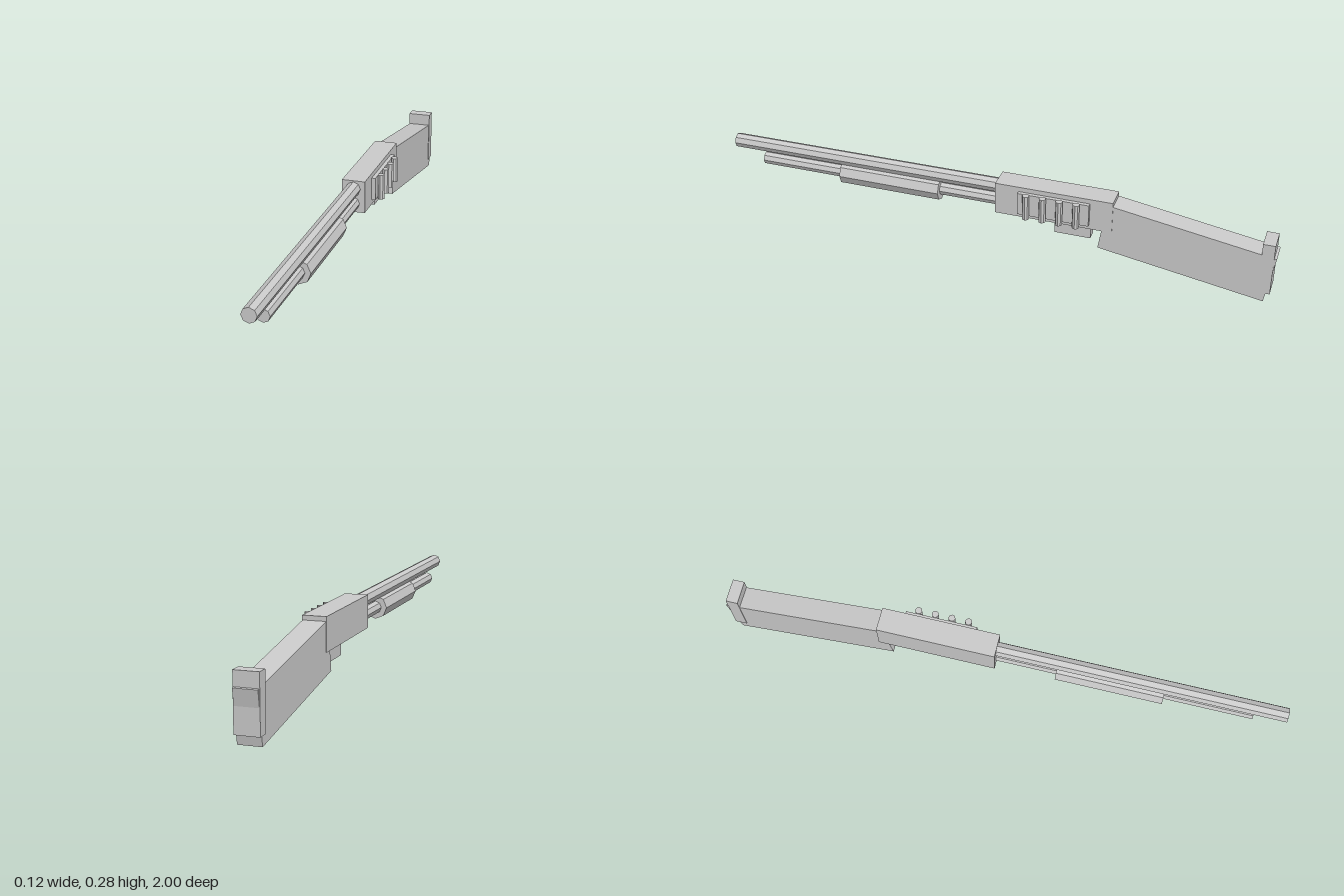
import * as THREE from 'three';

export function createModel() {
  const model = new THREE.Group();
  const grey = new THREE.MeshStandardMaterial({ color: 0xcccccc, flatShading: true });
  grey.name = 'light grey';
  const CX = -0.019; // centre line of the body

  const add = (name, geometry, x, y, z) => {
    const mesh = new THREE.Mesh(geometry, grey);
    mesh.name = name;
    mesh.position.set(x, y, z);
    model.add(mesh);
    return mesh;
  };
  // Box given by its limits on each axis
  const box = (name, x0, x1, y0, y1, z0, z1) =>
    add(name, new THREE.BoxGeometry(x1 - x0, y1 - y0, z1 - z0),
      (x0 + x1) / 2, (y0 + y1) / 2, (z0 + z1) / 2);
  // Eight-sided rod lying along z
  const rod = (name, r, y, z0, z1) =>
    add(name, new THREE.CylinderGeometry(r, r, z1 - z0, 8).rotateX(Math.PI / 2),
      CX, y, (z0 + z1) / 2);

  // Tubes and sliding grip
  rod('barrel', 0.026, 0.255, -0.05, 1);
  rod('lowerTube', 0.023, 0.2, -0.05, 0.89);
  rod('slidingGrip', 0.043, 0.2, 0.2, 0.578);

  // Body
  box('receiver', -0.061, 0.023, 0.167, 0.285, -0.435, -0.015);
  box('lowerBlock', -0.036, -0.002, 0.113, 0.18, -0.355, -0.225);

  // Side holder with four upright cylinders
  box('holderPlate', 0.022, 0.037, 0.185, 0.268, -0.355, -0.1);
  for (let i = 0; i < 4; i++) {
    add('holderCylinder', new THREE.CylinderGeometry(0.0125, 0.0125, 0.092, 8),
      0.0485, 0.226, -0.134 - i * 0.0595);
  }

  // Stock sloping down to the rear, with an upright butt plate
  const stock = add('stock', new THREE.BoxGeometry(0.08, 0.178, 0.589), CX, 0.137, -0.692);
  stock.rotation.x = -0.161;
  box('buttPlate', -0.061, 0.023, 0.036, 0.229, -0.988, -0.946);

  return model;
}
